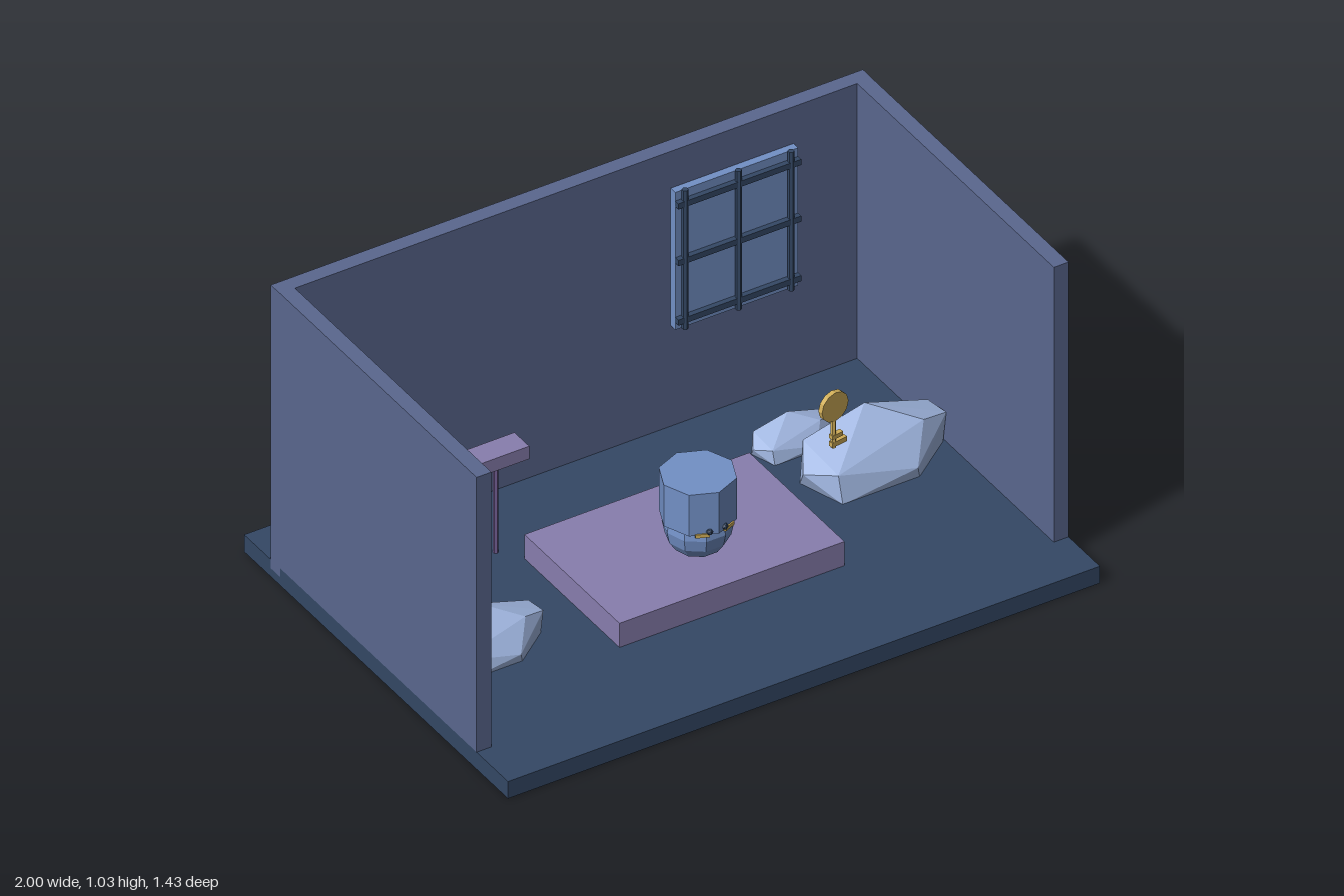
import * as THREE from 'three';
import { ConvexGeometry } from 'three/addons/geometries/ConvexGeometry.js';

const mat = (name, color) => {
  const m = new THREE.MeshStandardMaterial({ color, flatShading: true });
  m.name = name;
  return m;
};

export function createModel() {
  const wall = mat('slate wall', 0x5a678e);
  const navy = mat('navy', 0x344865);
  const mauve = mat('mauve', 0x887eae);
  const blue = mat('blue', 0x7290c6);
  const ice = mat('pale blue', 0x9fb5df);
  const gold = mat('gold', 0xcfad58);
  const plum = mat('plum', 0x705c90);

  const root = new THREE.Group();
  const add = (name, geometry, material, x, y, z, parent = root) => {
    const m = new THREE.Mesh(geometry, material);
    m.name = name;
    m.position.set(x, y, z);
    parent.add(m);
    return m;
  };
  // box given by its extents on each axis
  const box = (name, material, [x0, x1], [y0, y1], [z0, z1], parent) =>
    add(name, new THREE.BoxGeometry(x1 - x0, y1 - y0, z1 - z0), material,
      (x0 + x1) / 2, (y0 + y1) / 2, (z0 + z1) / 2, parent);
  const group = (name, x = 0, y = 0, z = 0) => {
    const g = new THREE.Group();
    g.name = name;
    g.position.set(x, y, z);
    root.add(g);
    return g;
  };

  // room shell
  box('floor', navy, [-1, 1], [0, 0.06], [-0.715, 0.715]);
  box('backWall', wall, [-1.0005, 1.0005], [0.03, 1.03], [-0.57, -0.52]);
  box('rightWall', wall, [-1, -0.95], [0.06, 1.03], [-0.52, 0.545]);
  box('leftWall', wall, [0.95, 1], [0.06, 1.03], [-0.52, 0.545]);

  // low platform
  box('platform', mauve, [-0.38, 0.38], [0.06, 0.145], [-0.19, 0.325]);

  // bench on thin posts
  const bench = group('bench');
  box('benchTop', mauve, [-0.775, -0.345], [0.38, 0.425], [-0.3, -0.22], bench);
  for (const x of [-0.685, -0.557, -0.433])
    add('benchPost', new THREE.CylinderGeometry(0.008, 0.008, 0.32, 6), plum, x, 0.22, -0.26, bench);

  // barred window
  const win = group('window');
  box('pane', blue, [0.32, 0.735], [0.415, 0.9], [-0.52, -0.495], win);
  for (const x of [0.347, 0.527, 0.705])
    add('uprightBar', new THREE.CylinderGeometry(0.01, 0.01, 0.49, 6), navy, x, 0.662, -0.485, win);
  for (const y of [0.45, 0.66, 0.86])
    box('crossBar', navy, [0.32, 0.735], [y - 0.01, y + 0.01], [-0.498, -0.478], win);

  // helmeted head on the platform
  const head = group('head', 0, 0, 0.14);
  add('helmet', new THREE.CylinderGeometry(0.115, 0.115, 0.145, 8), blue, 0, 0.3475, 0, head);
  add('face', new THREE.SphereGeometry(0.104, 10, 8), blue, 0, 0.247, 0, head);
  for (const s of [-1, 1]) {
    const brow = add('eyeRim', new THREE.BoxGeometry(0.042, 0.012, 0.012), gold, s * 0.044, 0.274, 0.095, head);
    brow.rotation.y = s * 0.39;
    add('eye', new THREE.IcosahedronGeometry(0.011, 0), navy, s * 0.026, 0.285, 0.105, head);
  }

  // floating key
  const key = group('key', 0.485, 0, 0.097);
  key.rotation.y = 0.15;
  const bow = add('keyBow', new THREE.CylinderGeometry(0.05, 0.05, 0.016, 12), gold, 0, 0.445, 0, key);
  bow.rotation.x = Math.PI / 2;
  add('keyShaft', new THREE.CylinderGeometry(0.008, 0.008, 0.11, 6), gold, 0, 0.355, 0, key);
  box('keyBit', gold, [-0.01, 0.03], [0.332, 0.346], [-0.008, 0.008], key);
  box('keyBit', gold, [-0.01, 0.045], [0.305, 0.321], [-0.008, 0.008], key);

  // faceted boulders, one shape at four sizes
  const rockPoints = [
    [0, 1, -0.4], [-0.81, 0.62, -0.6], [-1, 0.3, 0], [-0.74, 0.45, 0.75], [-0.08, 0.5, -1],
    [0.33, 0.4, -1], [0.92, 0.6, -0.47], [1, 0.55, 0.1], [0.6, 0.7, 0.35], [0.31, 0.2, 1],
    [-0.74, 0, 0.95], [-0.95, 0, -0.3], [0.35, 0, 0.95], [0.97, 0, 0.05], [0.3, 0, -0.95],
  ].map((p) => new THREE.Vector3(...p));
  const rockShape = new ConvexGeometry(rockPoints);
  for (const [x, z, w, h, d] of [
    [-0.717, 0.138, 0.19, 0.148, 0.1],
    [-0.572, -0.43, 0.153, 0.12, 0.085],
    [0.57, -0.262, 0.133, 0.1, 0.068],
    [0.712, -0.05, 0.238, 0.193, 0.123],
  ]) add('boulder', rockShape, ice, x, 0.058, z).scale.set(w, h, d);

  return root;
}
